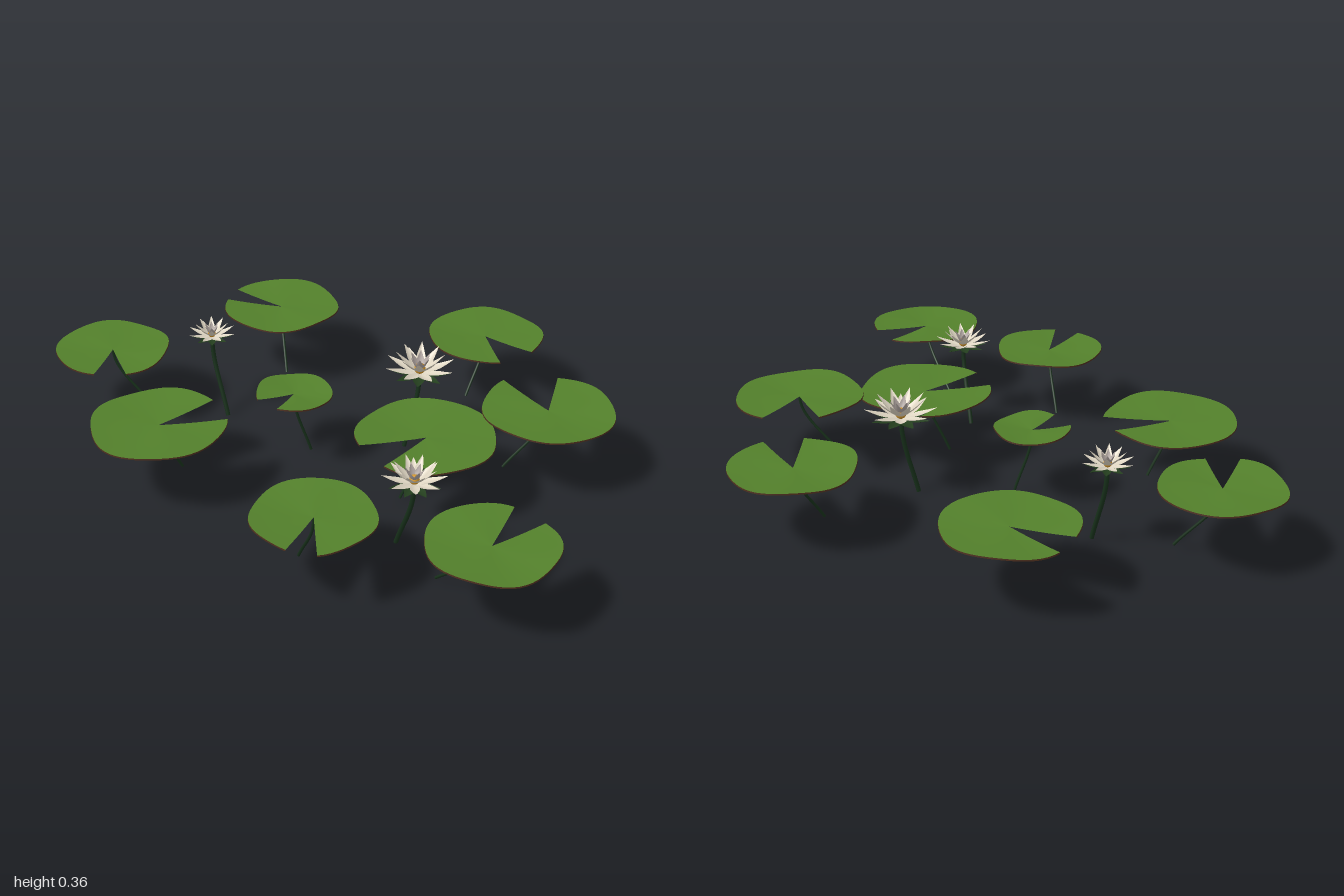
import * as THREE from 'three';

const mat = (name, color, side = THREE.FrontSide) => {
  const m = new THREE.MeshStandardMaterial({ color, side });
  m.name = name;
  return m;
};

// Grid surface from fn(u, v) -> [x, y, z]; faces along du x dv
function sheet(nu, nv, fn) {
  const pos = [], idx = [];
  for (let j = 0; j <= nv; j++)
    for (let i = 0; i <= nu; i++) pos.push(...fn(i / nu, j / nv));
  for (let j = 0; j < nv; j++)
    for (let i = 0; i < nu; i++) {
      const a = j * (nu + 1) + i, b = a + nu + 1;
      idx.push(a, a + 1, b, a + 1, b + 1, b);
    }
  const g = new THREE.BufferGeometry();
  g.setAttribute('position', new THREE.Float32BufferAttribute(pos, 3));
  g.setIndex(idx);
  g.computeVertexNormals();
  return g;
}

function add(parent, name, geometry, material) {
  const mesh = new THREE.Mesh(geometry, material);
  mesh.name = name;
  parent.add(mesh);
  return mesh;
}

// Stem that leaves the top straight down, then sweeps to its foot
function stemGeometry(top, foot, radius) {
  const h = top[1] - foot[1];
  const curve = new THREE.CubicBezierCurve3(
    new THREE.Vector3(...top),
    new THREE.Vector3(top[0], top[1] - h * 0.35, top[2]),
    new THREE.Vector3(top[0] * 0.45 + foot[0] * 0.55, foot[1] + h * 0.4, top[2] * 0.45 + foot[2] * 0.55),
    new THREE.Vector3(...foot));
  return new THREE.TubeGeometry(curve, 14, radius, 7, false);
}

// Pads: centre x, y, z, radius, notch direction and half width (degrees), stem foot
const PADS = [
  [-0.29, 0.25, -0.665, 0.214, 191, 13, [-0.235, 0.04, -0.52]],
  [0.50, 0.252, -0.60, 0.208, 49, 19, [0.45, 0.035, -0.51]],
  [-0.797, 0.258, -0.186, 0.202, 73, 16, [-0.65, 0.02, -0.19]],
  [0.775, 0.257, -0.118, 0.221, 247, 26, [0.64, 0.03, -0.075]],
  [-0.086, 0.256, -0.032, 0.13, 124, 21, [-0.03, 0.02, -0.05]],
  [-0.481, 0.246, 0.25, 0.227, -36, 16, [-0.425, 0.045, 0.19]],
  [0.40, 0.248, 0.128, 0.232, 133, 17, [0.325, 0.01, 0.16]],
  [0.144, 0.255, 0.655, 0.195, 88, 14, [0.075, 0.03, 0.57]],
  [0.685, 0.258, 0.681, 0.202, -61, 17, [0.51, 0.01, 0.56]],
];

// Flowers: centre x, base y, z, radius, turn, stem foot
const FLOWERS = [
  [-0.45, 0.295, -0.278, 0.09, 0.3, [-0.385, 0.004, -0.23]],
  [0.32, 0.285, -0.205, 0.13, 0.1, [0.28, 0.004, -0.17]],
  [0.417, 0.285, 0.468, 0.108, 0.6, [0.355, 0.006, 0.4]],
];

// Petal rings: name, count, length, half width, lift (degrees), material key
const RINGS = [
  ['sepal', 8, 0.82, 0.16, 6, 'sepal'],
  ['outerPetal', 8, 1.0, 0.15, 17, 'petal'],
  ['middlePetal', 8, 0.88, 0.13, 42, 'petal'],
  ['innerPetal', 6, 0.58, 0.11, 60, 'innerPetal'],
];

function petalGeometry(length, half, liftDeg) {
  const lift = THREE.MathUtils.degToRad(liftDeg);
  return sheet(4, 7, (u, v) => {
    const side = u * 2 - 1;
    const w = half * (v < 0.5 ? 0.3 + 0.7 * Math.sin(v * Math.PI) : Math.pow(2 - 2 * v, 0.85));
    const along = v * length;
    const up = 0.3 * w * side * side - 0.048 * length * Math.sin(v * Math.PI);
    return [
      along * Math.cos(lift) - up * Math.sin(lift),
      along * Math.sin(lift) + up * Math.cos(lift),
      -side * w,
    ];
  });
}

function buildPad([x, y, z, R, notch, half, foot], i, m) {
  const pad = new THREE.Group();
  pad.name = 'lilyPad';
  const start = THREE.MathUtils.degToRad(notch + half);
  const sweep = Math.PI * 2 - THREE.MathUtils.degToRad(2 * half);
  // Shallow, gently waved saucer
  const point = (t, r, drop = 0, flare = 0) => {
    const a = start + t * sweep;
    const rad = R * (1 + 0.022 * Math.cos(5 * a + i * 1.7)) * r + flare;
    const rise = 0.01 * r * r - 0.008 + 0.004 * r * Math.sin(3 * a + i);
    return [x + Math.cos(a) * rad, y + rise - drop, z + Math.sin(a) * rad];
  };
  add(pad, 'padLeaf', sheet(56, 6, (u, v) => point(u, v)), m.leaf);
  add(pad, 'padRim', sheet(56, 1, (u, v) => point(u, 1, v * 0.005, v * 0.001)), m.rim);
  add(pad, 'padStem', stemGeometry([x, y - 0.009, z], foot, 0.005), m.stem);
  return pad;
}

function buildFlower([x, y, z, R, turn, foot], m) {
  const flower = new THREE.Group();
  flower.name = 'flower';
  add(flower, 'flowerStem', stemGeometry([x, y - 0.005, z], foot, 0.008), m.stem);
  const head = new THREE.Group();
  head.name = 'flowerHead';
  head.position.set(x, y, z);
  head.rotation.y = turn;
  flower.add(head);
  RINGS.forEach(([name, count, length, half, lift, key], ring) => {
    const geo = petalGeometry(length * R, half * R, lift);
    for (let k = 0; k < count; k++) {
      const petal = add(head, name, geo, m[key]);
      petal.rotation.y = (k + ring * 0.5) / count * Math.PI * 2;
      petal.position.y = (ring - 1) * 0.03 * R;
    }
  });
  // Green base and golden heart
  add(head, 'calyx', new THREE.SphereGeometry(R * 0.14, 10, 6).scale(1, 0.7, 1).translate(0, -R * 0.08, 0), m.sepal);
  add(head, 'flowerHeart', new THREE.SphereGeometry(R * 0.15, 12, 8).translate(0, R * 0.16, 0), m.heart);
  return flower;
}

export function createModel() {
  const m = {
    leaf: mat('leafGreen', 0x53802b, THREE.DoubleSide),
    rim: mat('rimBrown', 0x4a2c1c, THREE.DoubleSide),
    stem: mat('stemGreen', 0x17301a),
    sepal: mat('sepalGreen', 0x243f1e, THREE.DoubleSide),
    petal: mat('petalCream', 0xded5c2, THREE.DoubleSide),
    innerPetal: mat('innerPetalGrey', 0xb0a5a0, THREE.DoubleSide),
    heart: mat('heartGold', 0xd4962a),
  };
  const model = new THREE.Group();
  model.name = 'waterLilies';
  PADS.forEach((p, i) => model.add(buildPad(p, i, m)));
  FLOWERS.forEach((f) => model.add(buildFlower(f, m)));
  return model;
}
